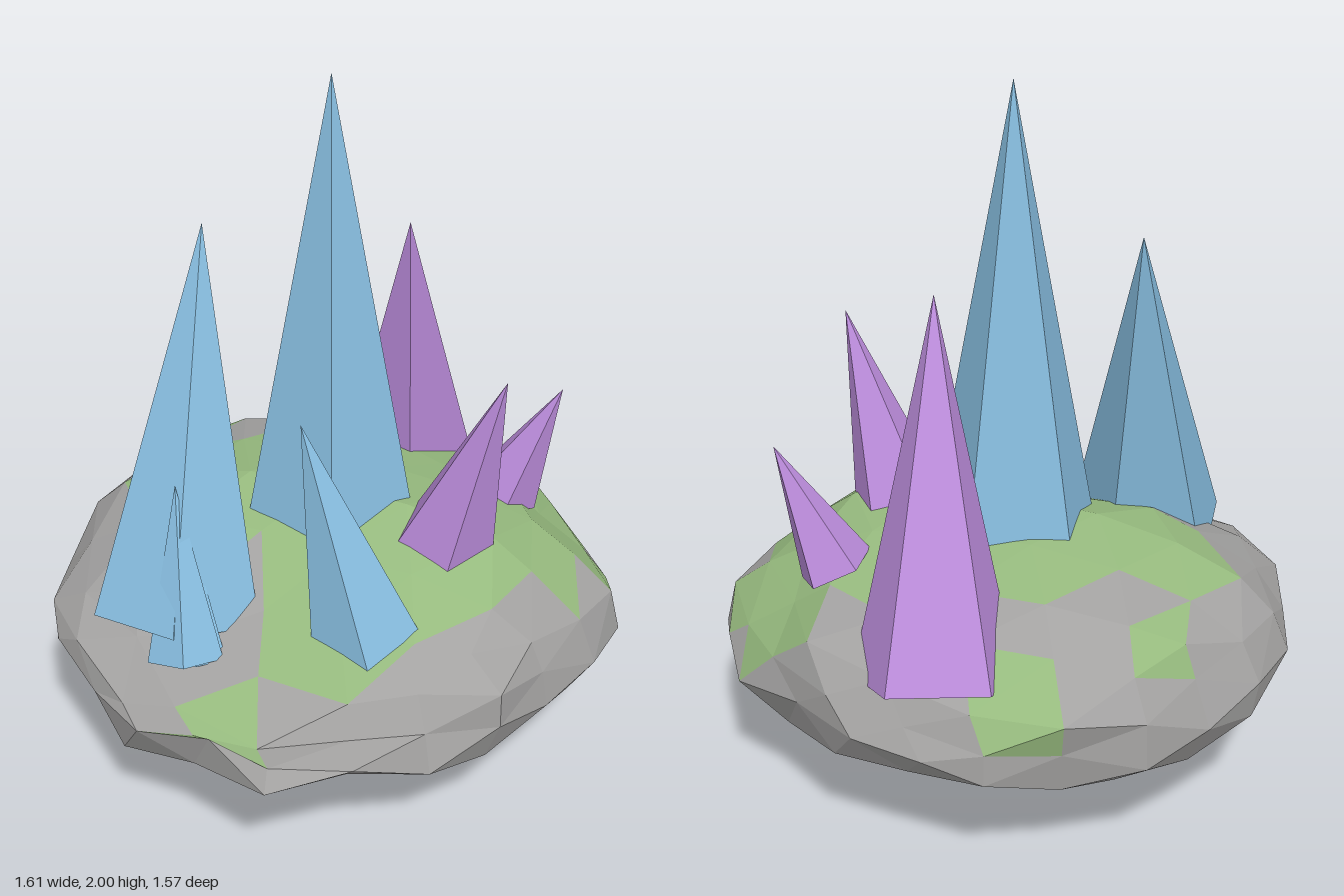
import * as THREE from 'three';

const mat = (name, color) => {
  const m = new THREE.MeshStandardMaterial({ color, flatShading: true });
  m.name = name;
  return m;
};

// Rock radius seen from above, every 22.5 degrees from +x towards +z
const OUTLINE = [0.82, 0.81, 0.84, 0.78, 0.79, 0.75, 0.89, 0.81, 0.8, 0.82, 0.76, 0.83, 0.79, 0.8, 0.81, 0.81];

function outlineRadius(angle) {
  const n = OUTLINE.length;
  const t = ((angle / (Math.PI * 2)) * n + n) % n;
  const i = Math.floor(t) % n;
  return THREE.MathUtils.lerp(OUTLINE[i], OUTLINE[(i + 1) % n], t - Math.floor(t));
}

// Grass patches on the upper side: x, z, radius x, radius z
const GRASS = [
  [-0.11, -0.36, 0.32, 0.17],
  [0.08, -0.05, 0.42, 0.28],
  [0.36, 0.27, 0.42, 0.3],
  [0.66, 0.32, 0.13, 0.13],
  [0.0, 0.38, 0.32, 0.2],
  [-0.28, 0.42, 0.12, 0.16],
  [-0.66, 0.38, 0.1, 0.14],
  [0.47, -0.6, 0.13, 0.16],
  [0.03, -0.64, 0.1, 0.07],
];
const isGrass = (c) => c.y > 0.43 &&
  GRASS.some(([x, z, rx, rz]) => ((c.x - x) / rx) ** 2 + ((c.z - z) / rz) ** 2 < 1);

// Squashed, roughened ball: dome sinking to the front right, tapered keel below
function shapeRock(v) {
  const { x, y, z } = v;
  const rough = 0.045 * Math.sin(9 * x + 4 * y + 1) * Math.sin(8 * z - 5 * y + 2)
    + 0.03 * Math.sin(17 * x + 13 * z + 11 * y);
  const flat = Math.hypot(x, z) || 1;
  const towards = (dx, dz) => Math.max(0, (dx * x + dz * z) / flat);
  const lean = towards(-0.85, 0.53) ** 2;
  const side = towards(0.95, -0.3) ** 4;
  const spur = towards(-0.81, 0.59) ** 8 * Math.max(0, 1 - 2 * Math.abs(y));
  const keel = 1 - 0.26 * THREE.MathUtils.smoothstep(-y, 0.1, 0.8);
  const r = outlineRadius(Math.atan2(z, x)) * keel * (1 + rough);
  const sink = 1 - (0.78 * lean + 0.22 * side) * Math.hypot(x, z);
  const bump = 0.025 * Math.sin(7 * x - 6 * z + 3 * y) * (1 - y * y);
  const height = 0.4 + (y > 0 ? 0.385 * sink : 0.4) * y + bump + 0.08 * spur;
  return v.set(x * r, THREE.MathUtils.clamp(height, 0, 0.78), z * r);
}

function buildRock(stone, grass) {
  const pos = new THREE.IcosahedronGeometry(1, 3).getAttribute('position');
  const faces = { stone: [], grass: [] };
  for (let i = 0; i < pos.count; i += 3) {
    const tri = [0, 1, 2].map((k) => shapeRock(new THREE.Vector3().fromBufferAttribute(pos, i + k)));
    const centre = new THREE.Vector3().add(tri[0]).add(tri[1]).add(tri[2]).divideScalar(3);
    const list = isGrass(centre) ? faces.grass : faces.stone;
    tri.forEach((p) => list.push(p.x, p.y, p.z));
  }
  const group = new THREE.Group();
  group.name = 'rock';
  for (const [name, list, material] of [['stoneFaces', faces.stone, stone], ['grassPatches', faces.grass, grass]]) {
    const geo = new THREE.BufferGeometry();
    geo.setAttribute('position', new THREE.Float32BufferAttribute(list, 3));
    geo.computeVertexNormals();
    const mesh = new THREE.Mesh(geo, material);
    mesh.name = name;
    group.add(mesh);
  }
  return group;
}

// Five-sided spike leaning from its base centre to its tip, one corner at the back
function crystal(name, material, base, tip, radius) {
  const a = new THREE.Vector3(...base);
  const axis = new THREE.Vector3(...tip).sub(a);
  const h = axis.length();
  const geo = new THREE.ConeGeometry(radius, h, 5, 1);
  geo.rotateY(Math.PI);
  geo.translate(0, h / 2, 0);
  const mesh = new THREE.Mesh(geo, material);
  mesh.quaternion.setFromUnitVectors(new THREE.Vector3(0, 1, 0), axis.normalize());
  mesh.position.copy(a);
  mesh.name = name;
  return mesh;
}

export function createModel() {
  const stone = mat('stone grey', 0xa3a2a1);
  const grass = mat('grass green', 0x96ba7e);
  const blue = mat('crystal blue', 0x87bddf);
  const purple = mat('crystal purple', 0xbb8cdb);

  const model = new THREE.Group();
  model.name = 'crystalRock';
  model.add(
    buildRock(stone, grass),
    // Blue crystals
    crystal('mainCrystal', blue, [0.025, 0.69, -0.015], [0.025, 2, -0.015], 0.25),
    crystal('leaningBlueCrystal', blue, [-0.5, 0.53, -0.02], [-0.24, 1.57, -0.24], 0.24),
    crystal('frontBlueCrystal', blue, [-0.16, 0.52, 0.415], [-0.275, 1.19, 0.26], 0.168),
    crystal('smallBlueCrystal', blue, [-0.58, 0.51, 0.145], [-0.505, 0.96, 0], 0.108),
    crystal('tinyBlueCrystal', blue, [-0.55, 0.5, 0.16], [-0.49, 0.84, 0.04], 0.08),
    // Purple crystals
    crystal('leaningPurpleCrystal', purple, [0.525, 0.52, -0.285], [0.325, 1.49, -0.05], 0.232),
    crystal('frontPurpleCrystal', purple, [0.17, 0.69, 0.325], [0.22, 1.26, 0.5], 0.145),
    crystal('smallPurpleCrystal', purple, [0.51, 0.66, 0.18], [0.615, 1.02, 0.3], 0.11),
  );
  return model;
}
